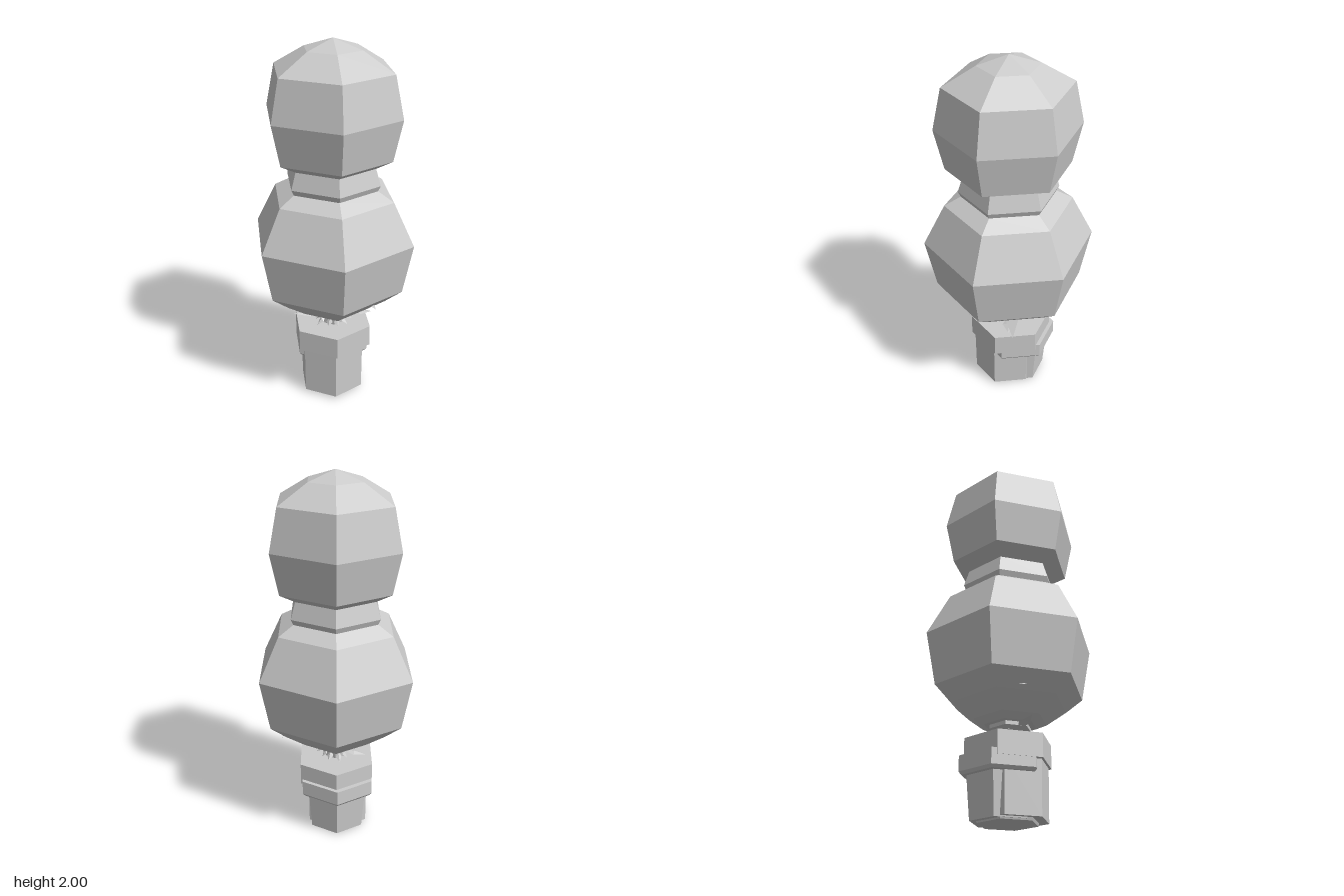
import * as THREE from 'three';

const material = new THREE.MeshStandardMaterial({ color: 0xcccccc, flatShading: true });
const leafMaterial = new THREE.MeshStandardMaterial({ color: 0xcccccc, flatShading: true, side: THREE.DoubleSide });

// Six-sided turned body with a corner facing +z; profile is [radius, y] from the bottom up
function hexBody(name, profile, x = 0, z = 0) {
  const points = profile.map(([r, y]) => new THREE.Vector2(r, y));
  const mesh = new THREE.Mesh(new THREE.LatheGeometry(points, 6), material);
  mesh.name = name;
  mesh.position.set(x, 0, z);
  return mesh;
}

// Pointed leaf: starts at base, widest at a fraction along its length, slightly arched
function leaf(name, base, tip, width, widest = 0.45, arch = 0.01) {
  const a = new THREE.Vector3(...base);
  const b = new THREE.Vector3(...tip);
  const along = b.clone().sub(a);
  const side = new THREE.Vector3(-along.z, 0, along.x).normalize().multiplyScalar(width / 2);
  const mid = a.clone().addScaledVector(along, widest);
  const left = mid.clone().add(side);
  const right = mid.clone().sub(side);
  mid.y += arch;
  const geometry = new THREE.BufferGeometry().setFromPoints([a, left, b, right, mid]);
  geometry.setIndex([0, 1, 4, 1, 2, 4, 2, 3, 4, 3, 0, 4]);
  geometry.computeVertexNormals();
  const mesh = new THREE.Mesh(geometry, leafMaterial);
  mesh.name = name;
  return mesh;
}

export function createModel() {
  const model = new THREE.Group();
  model.name = 'pottedTopiary';

  // Clipped foliage: two faceted balls joined by a collar
  model.add(
    hexBody('upperFoliage', [[0, 1.36], [0.235, 1.36], [0.325, 1.41], [0.373, 1.63], [0.325, 1.85], [0.156, 1.95], [0, 2]]),
    hexBody('foliageCollar', [[0.25, 1.24], [0.264, 1.27], [0.235, 1.365]]),
    hexBody('lowerFoliage', [[0, 0.49], [0.14, 0.495], [0.195, 0.52], [0.305, 0.6], [0.4, 0.68], [0.455, 0.96], [0.338, 1.19], [0.25, 1.24], [0, 1.24]]),
  );

  // Trunk
  model.add(hexBody('trunk', [[0.06, 0.4], [0.065, 0.46], [0.11, 0.475], [0.11, 0.5]]));

  // Inner pot with its tall rim, nested slightly off centre in the outer one
  model.add(
    hexBody('innerPot', [[0, 0.015], [0.185, 0.015], [0.188, 0.3]], -0.01, 0.01),
    hexBody('innerPotRim', [[0, 0.29], [0.228, 0.29], [0.228, 0.412], [0, 0.412]], -0.003, -0.012),
    hexBody('outerPot', [[0, 0.008], [0.162, 0.008], [0.182, 0.24]], -0.005, -0.045),
    hexBody('outerPotRim', [[0, 0.225], [0.208, 0.225], [0.221, 0.24], [0.221, 0.32], [0, 0.32]], -0.007, -0.045),
    hexBody('potFoot', [[0, 0], [0.155, 0], [0.16, 0.016]], -0.005, -0.015),
  );

  // Small curled leaves around the trunk
  const sprouts = new THREE.Group();
  sprouts.name = 'sprouts';
  for (let i = 0; i < 10; i++) {
    const angle = (i / 10) * Math.PI * 2 + 0.2;
    const reach = 0.085 + 0.012 * (i % 3);
    const s = Math.sin(angle);
    const c = Math.cos(angle);
    sprouts.add(leaf('sprout', [s * 0.05, 0.455, c * 0.05], [s * reach, 0.415, c * reach], 0.035, 0.5, 0.015));
  }
  model.add(sprouts);

  // Long leaves spreading above the soil
  model.add(
    leaf('spreadLeaf', [0.05, 0.46, 0], [0.215, 0.465, 0.03], 0.07, 0.6),
    leaf('spreadLeaf', [-0.05, 0.465, 0.02], [-0.225, 0.49, 0.04], 0.06, 0.5),
    leaf('spreadLeaf', [-0.04, 0.45, -0.03], [-0.17, 0.428, -0.05], 0.06, 0.5),
  );

  // Stray leaf tips poking out of the lower foliage
  model.add(
    leaf('strayLeaf', [0.26, 0.625, 0.015], [0.3, 0.5, 0.015], 0.07, 0.15, 0),
    leaf('strayLeaf', [-0.24, 0.63, -0.02], [-0.325, 0.605, -0.02], 0.06, 0.4),
    leaf('strayLeaf', [0.17, 0.625, 0.19], [0.2, 0.605, 0.24], 0.03, 0.4),
  );

  return model;
}
